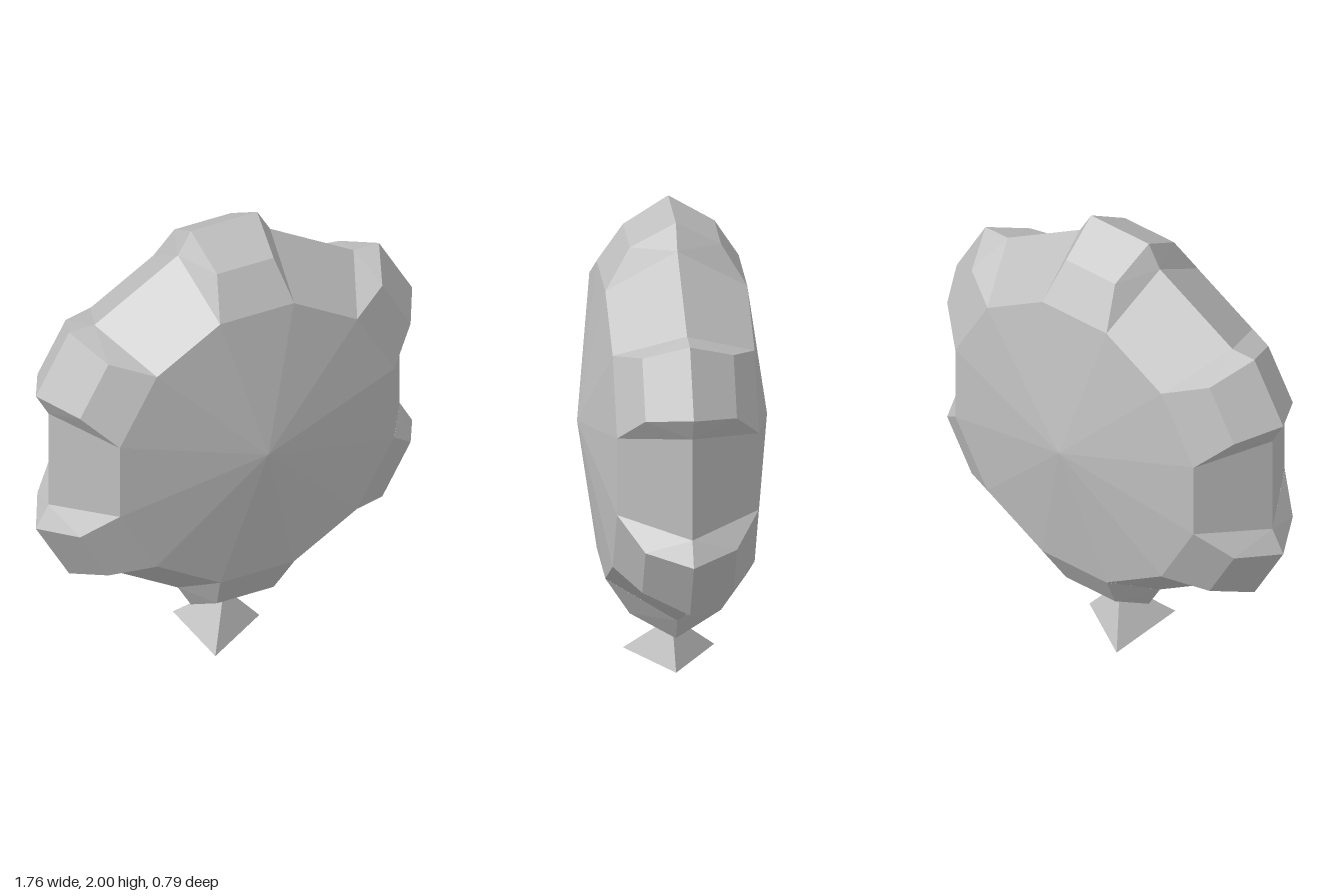
import * as THREE from 'three';

const CY = 1.075; // height of the disc centre

// Flat-shaded mesh from triangles; each is turned to face away from the given centre
function facetMesh(name, triangles, centre, material) {
  const points = [];
  for (const [a, b, c] of triangles) {
    const normal = b.clone().sub(a).cross(c.clone().sub(a));
    const out = a.clone().add(b).add(c).divideScalar(3).sub(centre);
    points.push(...(normal.dot(out) < 0 ? [a, c, b] : [a, b, c]));
  }
  const geometry = new THREE.BufferGeometry().setFromPoints(points);
  geometry.computeVertexNormals();
  const mesh = new THREE.Mesh(geometry, material);
  mesh.name = name;
  return mesh;
}

const quad = (a, b, c, d) => [[a, b, c], [a, c, d]];

export function createModel() {
  const group = new THREE.Group();
  group.name = 'toothedDisc';
  const grey = new THREE.MeshStandardMaterial({ color: 0xc0c0c0, flatShading: true });
  grey.name = 'stone grey';
  const centre = new THREE.Vector3(0, CY, 0);

  // Point at radius r along an angle, shifted t sideways, at depth z
  const at = (angle, r, t, z) => new THREE.Vector3(
    Math.cos(angle) * r - Math.sin(angle) * t,
    CY + Math.sin(angle) * r + Math.cos(angle) * t, z);

  const faces = [], teeth = [], valleys = [];
  for (const side of [1, -1]) {
    const zFace = 0.295 * side, zMid = 0.19 * side;
    const apex = new THREE.Vector3(0, CY, 0.395 * side);
    for (let i = 0; i < 12; i++) {
      const a = i * Math.PI / 6;
      const inner = [-1, 1].map(s => at(a, 0.64, s * 0.173, zFace));
      // Shallow cone of the front and back
      faces.push([apex, inner[0], inner[1]]);

      if (i % 2 === 0) {
        // Sunken rim panel between two teeth
        const rim = [-1, 1].map(s => at(a, 0.82, s * 0.225, 0));
        valleys.push(...quad(inner[0], inner[1], rim[1], rim[0]));
      } else {
        // Raised tooth: two outer slopes and its flanks
        const mid = [-1, 1].map(s => at(a, 0.815, s * 0.132, zMid));
        const tip = [-1, 1].map(s => at(a, 0.925, s * 0.155, 0));
        teeth.push(...quad(inner[0], inner[1], mid[1], mid[0]));
        teeth.push(...quad(mid[0], mid[1], tip[1], tip[0]));
        [-1, 1].forEach((s, k) => {
          const foot = at(a + s * Math.PI / 3 / 2, 0.82, -s * 0.225, 0);
          const flank = [[inner[k], mid[k], foot], [mid[k], tip[k], foot]];
          teeth.push(...flank);
        });
      }
    }
  }
  group.add(facetMesh('discFaces', faces, centre, grey));
  group.add(facetMesh('rimTeeth', teeth, centre, grey));
  group.add(facetMesh('rimValleys', valleys, centre, grey));

  // Three-sided pyramid foot
  const base = [[0.165, 0], [-0.14, 0.19], [-0.14, -0.19]]
    .map(([x, z]) => new THREE.Vector3(x, 0, z));
  const top = new THREE.Vector3(0, 0.185, 0);
  const foot = [base, ...base.map((p, i) => [p, base[(i + 1) % 3], top])];
  group.add(facetMesh('pyramidFoot', foot, new THREE.Vector3(-0.03, 0.05, 0), grey));

  return group;
}
